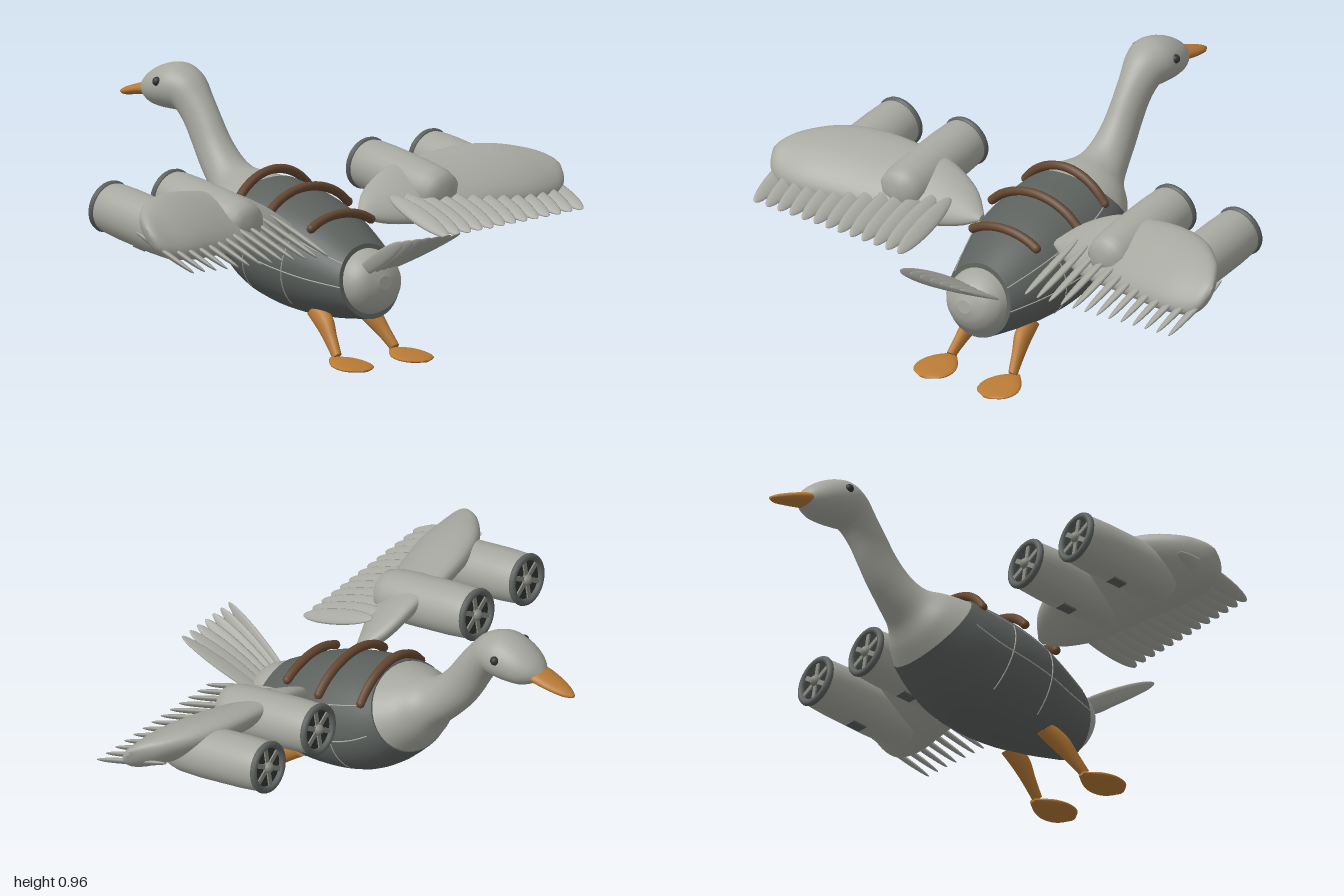
import * as THREE from 'three';

const V = (x, y, z) => new THREE.Vector3(x, y, z);
const mat = (name, color) => Object.assign(new THREE.MeshStandardMaterial({ color }), { name });

// Smoothly interpolated row of a section table at u in 0..1
function rowAt(rows, u) {
  const n = rows.length - 1, f = Math.min(u, 1) * n, i = Math.min(Math.floor(f), n - 1), t = f - i;
  const at = (k) => rows[Math.max(0, Math.min(n, k))];
  return rows[0].map((_, c) => {
    const p = at(i - 1)[c], q = at(i)[c], r = at(i + 1)[c], s = at(i + 2)[c];
    return q + 0.5 * t * (r - p + t * (2 * p - 5 * q + 4 * r - s + t * (3 * (q - r) + s - p)));
  });
}

// Body section: top z,y, bottom z,y, half width, centre x
const bodyRing = ([tz, ty, bz, by, w, cx = 0]) => ({
  c: V(cx, (ty + by) / 2, (tz + bz) / 2), a: V(w, 0, 0), b: V(0, (ty - by) / 2, (tz - bz) / 2),
});
// Wing section: x, leading z,y, trailing z,y, half thickness
const wingRing = ([x, zf, yf, zb, yb, h]) => {
  const dz = zb - zf, dy = yb - yf, k = h / Math.hypot(dz, dy);
  return { c: V(x, (yf + yb) / 2, (zf + zb) / 2), a: V(0, dz * k, -dy * k), b: V(0, dy / 2, dz / 2) };
};
const ringPoint = ({ c, a, b }, t) => c.clone().addScaledVector(a, Math.cos(t)).addScaledVector(b, Math.sin(t));

// Closed skin through elliptical sections
function loft(rows, ring = bodyRing, steps = 32, seg = 32) {
  const pos = [], idx = [];
  for (let i = 0; i <= steps; i++) {
    const r = ring(rowAt(rows, i / steps));
    for (let j = 0; j < seg; j++) pos.push(...ringPoint(r, (j / seg) * Math.PI * 2).toArray());
  }
  for (let i = 0; i < steps; i++) for (let j = 0; j < seg; j++) {
    const k = (j + 1) % seg, a = i * seg + j, b = i * seg + k;
    idx.push(a, b, a + seg, b, b + seg, a + seg);
  }
  for (const [i, flip] of [[0, true], [steps, false]]) {
    const r = ring(rowAt(rows, i / steps)), c = pos.length / 3;
    pos.push(...r.c.toArray());
    for (let j = 0; j < seg; j++) pos.push(...ringPoint(r, (j / seg) * Math.PI * 2).toArray());
    for (let j = 0; j < seg; j++) {
      const p = c + 1 + j, q = c + 1 + (j + 1) % seg;
      idx.push(c, flip ? q : p, flip ? p : q);
    }
  }
  const g = new THREE.BufferGeometry();
  g.setAttribute('position', new THREE.Float32BufferAttribute(pos, 3));
  g.setIndex(idx);
  g.computeVertexNormals();
  return g;
}

export function createModel() {
  const plumage = mat('plumage grey', 0xa6a79f), armour = mat('armour grey', 0x5c615e);
  const leather = mat('strap brown', 0x644630), orange = mat('beak orange', 0xb87a35);
  const black = mat('eye black', 0x303432), metal = mat('fan grey', 0x85877f);
  const model = new THREE.Group();
  model.name = 'armouredBird';
  const add = (parent, name, geo, material) => {
    const m = new THREE.Mesh(geo, material);
    m.name = name;
    parent.add(m);
    return m;
  };
  const tube = (pts, r, n = 32) => new THREE.TubeGeometry(new THREE.CatmullRomCurve3(pts), n, r, 8);

  // Head, neck and chest
  add(model, 'headAndNeck', loft([
    [-0.7, 0.86, -0.7, 0.84, 0.015], [-0.67, 0.9, -0.665, 0.815, 0.055], [-0.62, 0.935, -0.62, 0.795, 0.083],
    [-0.56, 0.958, -0.56, 0.79, 0.096], [-0.5, 0.962, -0.51, 0.79, 0.095], [-0.43, 0.93, -0.485, 0.785, 0.08],
    [-0.375, 0.87, -0.45, 0.735, 0.066], [-0.32, 0.795, -0.415, 0.67, 0.062], [-0.27, 0.72, -0.37, 0.6, 0.067],
    [-0.215, 0.66, -0.31, 0.53, 0.08], [-0.16, 0.628, -0.25, 0.465, 0.105], [-0.09, 0.622, -0.215, 0.4, 0.16],
    [0, 0.61, -0.18, 0.348, 0.2]], bodyRing, 60), plumage);
  add(model, 'beak', loft([
    [-0.832, 0.82, -0.832, 0.81, 0.008], [-0.8, 0.836, -0.8, 0.806, 0.028], [-0.74, 0.856, -0.74, 0.815, 0.045],
    [-0.68, 0.872, -0.67, 0.825, 0.05], [-0.63, 0.87, -0.63, 0.83, 0.045]]), orange);

  // Armoured torso and bare rump
  const hull = [
    [0, 0.615, -0.18, 0.345, 0.205], [0.06, 0.606, -0.1, 0.265, 0.225], [0.12, 0.597, 0, 0.2, 0.236],
    [0.2, 0.575, 0.12, 0.165, 0.24], [0.3, 0.54, 0.25, 0.148, 0.225], [0.4, 0.49, 0.38, 0.148, 0.19],
    [0.49, 0.435, 0.54, 0.165, 0.145]];
  add(model, 'torsoArmour', loft(hull, bodyRing, 40, 40), armour);
  add(model, 'rump', loft([
    [0.48, 0.42, 0.53, 0.18, 0.13], [0.53, 0.41, 0.57, 0.2, 0.118], [0.575, 0.38, 0.595, 0.24, 0.085],
    [0.6, 0.33, 0.605, 0.28, 0.03]]), plumage);

  // Panel seams following the armour
  const onHull = (u, t) => ringPoint(bodyRing(rowAt(hull, u)), t);
  const span = (a, b, f) => Array.from({ length: 12 }, (_, i) => f(a + (b - a) * i / 11));
  for (const s of [0, 1]) {
    const side = (t) => (s ? Math.PI - t : t);
    for (const t of [0.6, -0.05]) add(model, 'lengthSeam', tube(span(0.1, 1, (u) => onHull(u, side(t))), 0.0025), plumage);
    for (const u of [0.4, 0.68]) add(model, 'crossSeam', tube(span(-0.8, 0.6, (t) => onHull(u, side(t))), 0.0025), plumage);
  }

  // Leather straps arching over the back
  for (const [z, top, rx, end] of [[0, 0.642, 0.23, 0.18], [0.18, 0.602, 0.25, 0.195], [0.36, 0.527, 0.21, 0.145]]) {
    const pts = span(-end, end, (x) => V(x, 0.39 + (top - 0.39) * Math.sqrt(1 - (x / rx) ** 2), z));
    add(model, 'backStrap', tube(pts, 0.017), leather);
    for (const p of [pts[0], pts[11]]) add(model, 'strapEnd', new THREE.SphereGeometry(0.017, 12, 8), leather).position.copy(p);
  }

  // Fanned tail feathers, turned more edge-on towards one side
  for (let i = 0; i < 7; i++) {
    const f = i / 6, root = V(-0.05 + 0.13 * f, 0.32, 0.49), tip = V(-0.12 + 0.28 * f, 0.5, 0.828);
    const m = add(model, 'tailFeather', new THREE.SphereGeometry(1, 12, 16).rotateX(Math.PI / 2), plumage);
    m.scale.set(0.028, 0.007, root.distanceTo(tip) / 2);
    m.position.lerpVectors(root, tip, 0.5);
    m.lookAt(tip);
    m.rotateZ(-1.25 + 1.0 * f);
  }

  // Jet pod: housing, intake rim, fan and underside hatch
  const housing = new THREE.LatheGeometry([[0.088, 0], [0.094, 0.03], [0.097, 0.1], [0.097, 0.28], [0.092, 0.37],
    [0.082, 0.41], [0.05, 0.435], [0, 0.44]].map(([r, y]) => new THREE.Vector2(r, y)), 32).rotateX(Math.PI / 2);
  function makeEngine(x, y) {
    const pod = new THREE.Group();
    pod.name = 'engine';
    pod.position.set(x, y, -0.03);
    pod.rotation.x = 0.15;
    add(pod, 'housing', housing, plumage);
    add(pod, 'intakeRim', new THREE.TorusGeometry(0.085, 0.013, 10, 32), armour);
    add(pod, 'fanBackplate', new THREE.CircleGeometry(0.085, 32).rotateY(Math.PI), black).position.z = 0.006;
    add(pod, 'fanHub', new THREE.SphereGeometry(0.022, 16, 10), metal);
    for (let i = 0; i < 6; i++) {
      const blade = add(pod, 'fanBlade', new THREE.BoxGeometry(0.018, 0.07, 0.006).translate(0, 0.045, 0), metal);
      blade.rotation.z = i * Math.PI / 3;
    }
    add(pod, 'hatch', new THREE.BoxGeometry(0.045, 0.009, 0.06), armour).position.set(0, -0.096, 0.2);
    return pod;
  }

  // One side: wing, flight feathers, engines, leg, eye
  function makeSide(name) {
    const side = new THREE.Group();
    side.name = name;
    add(side, 'wing', loft([
      [0.17, 0.26, 0.5, 0.29, 0.485, 0.008], [0.25, 0.2, 0.56, 0.33, 0.46, 0.035], [0.38, 0.172, 0.62, 0.39, 0.455, 0.05],
      [0.52, 0.165, 0.64, 0.43, 0.47, 0.055], [0.68, 0.18, 0.655, 0.47, 0.485, 0.065], [0.82, 0.225, 0.655, 0.495, 0.49, 0.066],
      [0.93, 0.31, 0.64, 0.49, 0.5, 0.05], [0.98, 0.38, 0.62, 0.47, 0.53, 0.03], [1, 0.425, 0.6, 0.44, 0.575, 0.004]],
    wingRing, 40), plumage);
    for (let i = 0; i < 13; i++) {
      const f = i / 12, m = add(side, 'flightFeather', new THREE.SphereGeometry(1, 12, 16).rotateX(Math.PI / 2), plumage);
      m.scale.set(0.034, 0.011, 0.165);
      m.position.set(0.29 + 0.655 * f, 0.495 + 0.02 * f, 0.46);
      m.rotation.set(0.33, 0, 0.6);
    }
    side.add(makeEngine(0.475, 0.602), makeEngine(0.775, 0.596));
    add(side, 'leg', loft([[0.37, 0.21, 0.31, 0.16, 0.03, 0.105], [0.43, 0.17, 0.38, 0.11, 0.03, 0.115],
      [0.47, 0.11, 0.43, 0.07, 0.022, 0.128], [0.51, 0.05, 0.48, 0.025, 0.017, 0.14]], bodyRing, 20, 16), orange);
    add(side, 'foot', loft([[0.475, 0.035, 0.475, 0.022, 0.015, 0.145], [0.53, 0.038, 0.53, 0.008, 0.062, 0.145],
      [0.58, 0.03, 0.58, 0.002, 0.08, 0.145], [0.63, 0.02, 0.63, 0, 0.065, 0.145],
      [0.66, 0.01, 0.66, 0.003, 0.015, 0.145]], bodyRing, 20, 24), orange);
    add(side, 'eye', new THREE.SphereGeometry(0.017, 16, 12), black).position.set(0.089, 0.9, -0.54);
    return side;
  }
  const left = makeSide('leftSide'), right = makeSide('rightSide');
  right.scale.x = -1;
  model.add(left, right);
  return model;
}
